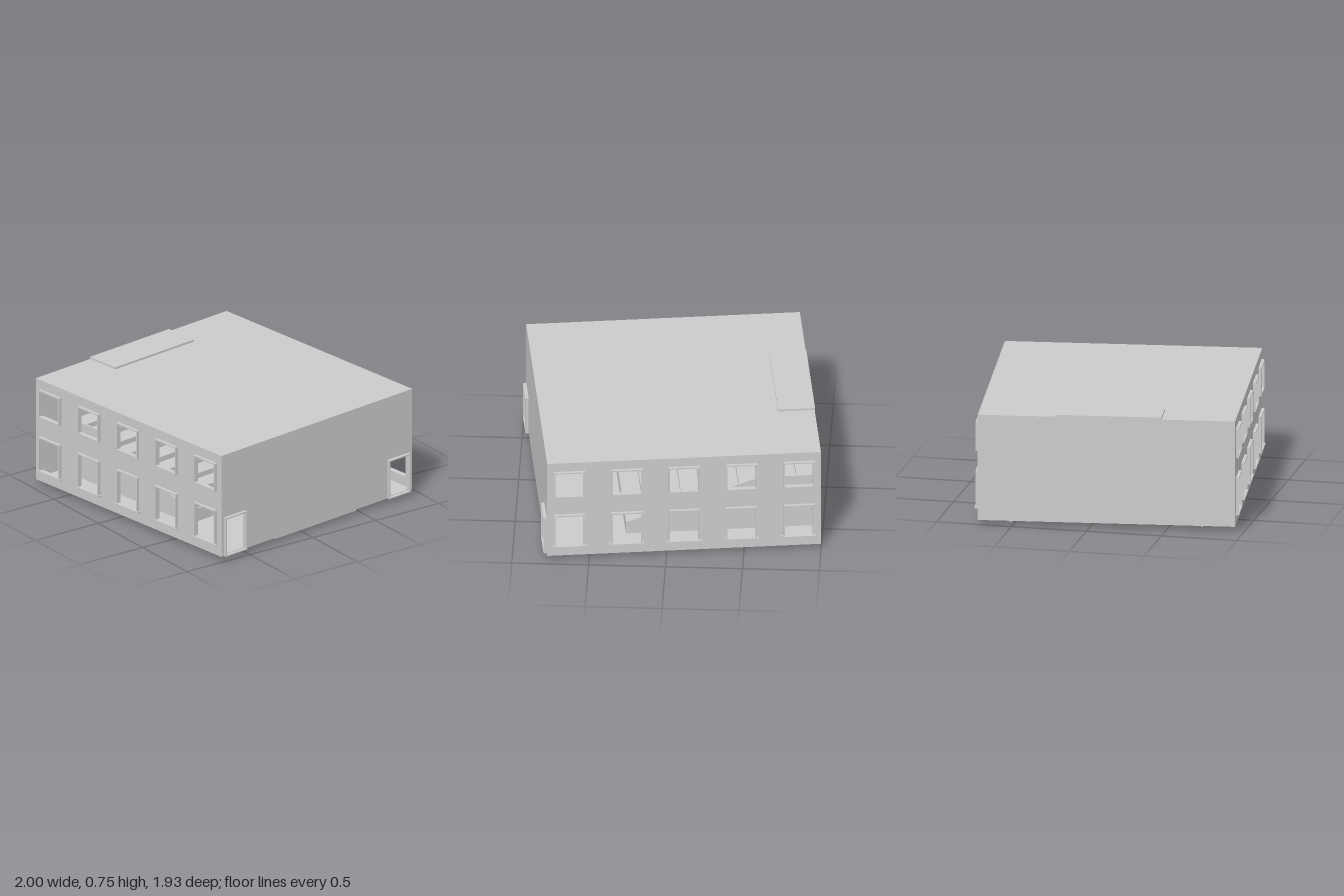
import * as THREE from 'three';

const material = new THREE.MeshStandardMaterial({ color: 0xcccccc, flatShading: true });
const W = 1.784, D = 1.68, Y0 = 0.03, Y1 = 0.74, T = 0.012;

function add(parent, name, geometry, x = 0, y = 0, z = 0) {
  const mesh = new THREE.Mesh(geometry, material);
  mesh.name = name;
  mesh.position.set(x, y, z);
  parent.add(mesh);
  return mesh;
}

// Box given by its ranges along x, y and z
function block(parent, name, x0, x1, y0, y1, z0, z1) {
  const g = new THREE.BoxGeometry(x1 - x0, y1 - y0, z1 - z0);
  return add(parent, name, g, (x0 + x1) / 2, (y0 + y1) / 2, (z0 + z1) / 2);
}

const rect = (C, x0, x1, y0, y1) => new C([
  new THREE.Vector2(x0, y0), new THREE.Vector2(x1, y0),
  new THREE.Vector2(x1, y1), new THREE.Vector2(x0, y1),
]);

// Upright panel with rectangular openings, extruded towards +z
function panel(x0, x1, y0, y1, openings, depth) {
  const shape = rect(THREE.Shape, x0, x1, y0, y1);
  for (const o of openings) shape.holes.push(rect(THREE.Path, ...o));
  return new THREE.ExtrudeGeometry(shape, { depth, bevelEnabled: false });
}

// Wall with two rows of five framed windows
function windowWall(name) {
  const group = new THREE.Group();
  group.name = name;
  const openings = [], half = 0.092, rim = 0.009;
  for (let i = 0; i < 5; i++) {
    const x = -0.747 + i * 0.3735;
    for (const [y0, y1] of [[0.11, 0.337], [0.49, 0.667]]) {
      openings.push([x - half, x + half, y0, y1]);
      const frame = panel(x - half - rim, x + half + rim, y0 - rim, y1 + rim,
        [[x - half, x + half, y0, y1]], 0.032);
      add(group, 'windowFrame', frame, 0, 0, -T);
      if (y0 < 0.4) block(group, 'windowSill', x - 0.112, x + 0.112, y0 - 0.011, y0, 0, 0.024);
    }
  }
  add(group, 'wall', panel(-W / 2, W / 2, Y0, Y1, openings, T), 0, 0, -T);
  return group;
}

export function createModel() {
  const model = new THREE.Group();
  const building = new THREE.Group();
  building.name = 'building';
  building.position.set(-0.007, 0, -0.005);
  building.rotation.y = 0.127;
  model.add(building);

  // Outer shell
  const front = windowWall('frontWall');
  front.position.z = D / 2;
  const back = windowWall('backWall');
  back.position.z = -D / 2;
  back.rotation.y = Math.PI;
  building.add(front, back);
  block(building, 'floor', -W / 2, W / 2, Y0, Y0 + T, -D / 2, D / 2);
  block(building, 'roof', -W / 2, W / 2, Y1 - T, Y1, -D / 2, D / 2);
  block(building, 'blankSideWall', -W / 2, -W / 2 + T, Y0, Y1, -D / 2, D / 2);

  // Side wall with two open doorways and projecting frames
  const side = new THREE.Group();
  side.name = 'doorSideWall';
  side.rotation.y = Math.PI / 2;
  side.position.x = W / 2;
  building.add(side);
  const doors = [-0.725, 0.715].map((x) => [x - 0.085, x + 0.085, Y0 + 0.008, 0.292]);
  add(side, 'wall', panel(-D / 2, D / 2, Y0, Y1, doors, T), 0, 0, -T);
  for (const d of doors) {
    add(side, 'doorFrame', panel(d[0] - 0.009, d[1] + 0.009, Y0, 0.301, [d], 0.034), 0, 0, -T);
  }

  // Raked seating tiers climbing towards the blank wall
  const tiers = 10, end = -W / 2 + T, start = 0.35, run = (start - end) / tiers;
  for (let i = 0; i < tiers; i++) {
    const x1 = start - i * run;
    block(building, 'seatingTier', x1 - run, x1, Y0, 0.06 + i * 0.034, -0.62, 0.62);
  }

  // Parapets beside the tiers, their ends showing through the shell
  const outline = [[0.362, 0.024], [0.362, 0.13], [-0.51, 0.43], [-0.895, 0.43], [-0.895, 0.024]];
  const parapet = new THREE.ExtrudeGeometry(
    new THREE.Shape(outline.map(([x, y]) => new THREE.Vector2(x, y))),
    { depth: 0.012, bevelEnabled: false });
  for (const z of [-0.632, 0.62]) add(building, 'tierParapet', parapet, 0, 0, z);
  block(building, 'tierFrontWall', 0.35, 0.362, 0, 0.13, -0.62, 0.62);

  // Booth rising slightly through the roof, and the low stage opposite
  block(building, 'upperBooth', -0.895, -0.653, 0.34, 0.754, -0.335, 0.36);
  block(building, 'stage', 0.653, W / 2, 0.022, 0.06, -0.345, 0.36);
  return model;
}
